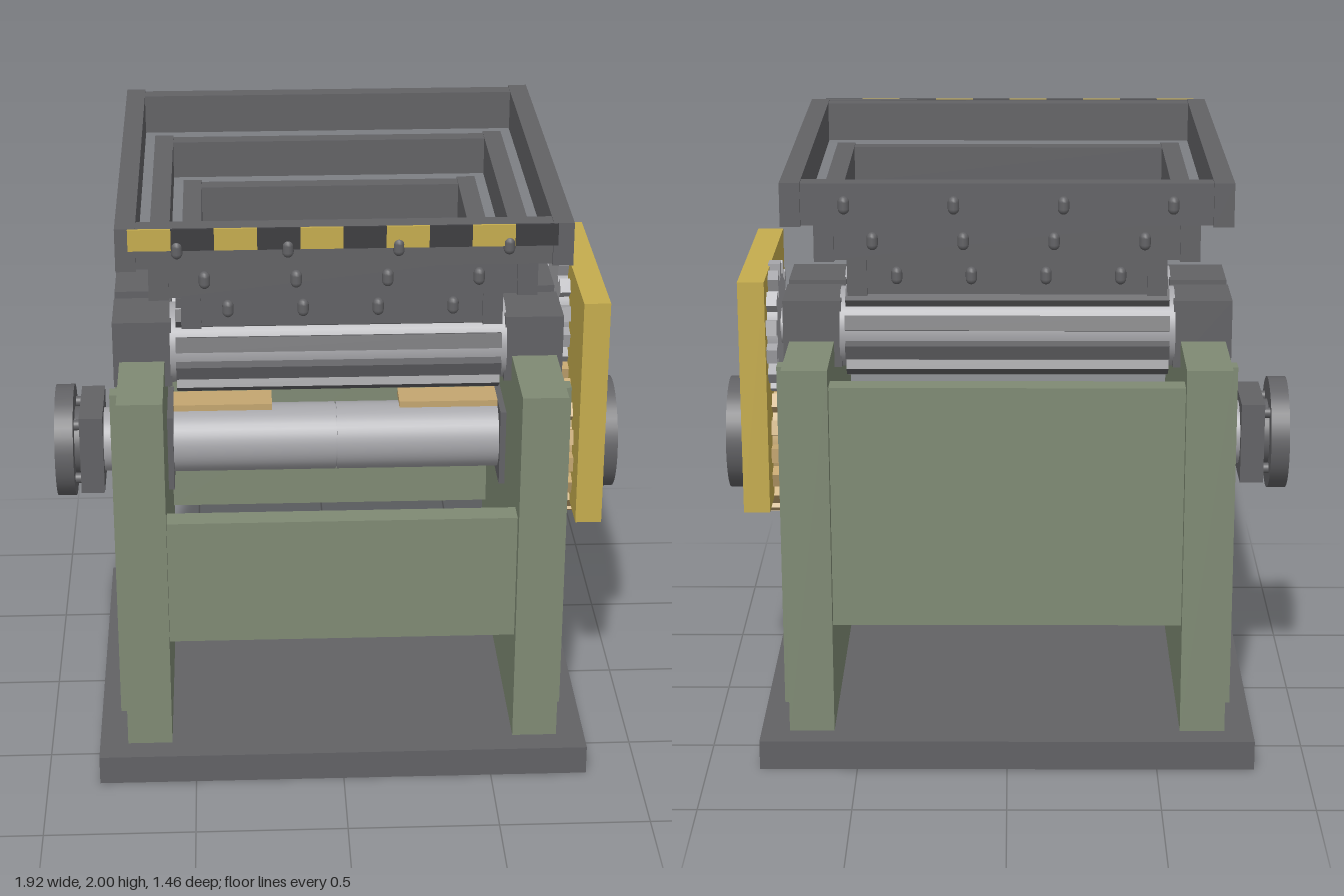
import * as THREE from 'three';

const mat = (name, color) => {
  const m = new THREE.MeshStandardMaterial({ color });
  m.name = name;
  return m;
};

export function createModel() {
  const model = new THREE.Group();
  model.name = 'rollerCrusher';
  const dark = mat('darkSteel', 0x626265);
  const green = mat('greenPaint', 0x7f8a74);
  const yellow = mat('safetyYellow', 0xc5ac4e);
  const black = mat('stripeBlack', 0x3d3d40);
  const silver = mat('brightSteel', 0xa6a6aa);
  const bronze = mat('bronze', 0xc4a670);

  const add = (name, geo, m, parent = model) => {
    const mesh = new THREE.Mesh(geo, m);
    mesh.name = name;
    parent.add(mesh);
    return mesh;
  };
  // Box given by its low and high limits on each axis
  const box = (name, m, x0, x1, y0, y1, z0, z1, parent) => {
    const mesh = add(name, new THREE.BoxGeometry(x1 - x0, y1 - y0, z1 - z0), m, parent);
    mesh.position.set((x0 + x1) / 2, (y0 + y1) / 2, (z0 + z1) / 2);
    return mesh;
  };
  // Cylinder lying along x
  const rod = (name, m, x0, x1, r, y, z, parent) => {
    const geo = new THREE.CylinderGeometry(r, r, x1 - x0, 40).rotateZ(Math.PI / 2);
    const mesh = add(name, geo, m, parent);
    mesh.position.set((x0 + x1) / 2, y, z);
    return mesh;
  };
  // Blocks spread evenly round an x axis: gear teeth and roller bars
  const ring = (name, m, count, length, height, width, radius, parent, phase = 0) => {
    for (let i = 0; i < count; i++) {
      const a = ((i + phase) / count) * Math.PI * 2;
      const b = add(name, new THREE.BoxGeometry(length, height, width), m, parent);
      b.position.set(0, Math.cos(a) * radius, Math.sin(a) * radius);
      b.rotation.x = a;
    }
  };

  // Base and cross panels
  box('base', dark, -0.825, 0.825, 0, 0.1, -0.69, 0.69);
  box('frontPanel', green, -0.58, 0.58, 0.47, 0.91, 0.48, 0.56);
  box('backPanel', green, -0.58, 0.58, 0.465, 1.29, -0.56, -0.48);

  // Side walls with ribs, bearing blocks and inner flanges
  for (const s of [-1, 1]) {
    const side = (name, m, a, b, ...rest) =>
      box(name, m, Math.min(s * a, s * b), Math.max(s * a, s * b), ...rest);
    side('sideWall', green, 0.58, 0.73, 0.1, 1.36, -0.6, 0.6);
    for (const z of [-0.425, 0, 0.425])
      side('wallRib', green, 0.725, 0.757, 0.14, 1.33, z - 0.028, z + 0.028);
    for (const z of [-0.14, 0.14])
      side('bearingBlock', dark, 0.555, 0.75, 1.27, 1.5, z - 0.11, z + 0.11);
    side('innerFlange', dark, 0.56, 0.585, 0.83, 1.1, -0.135, 0.135);
    side('scraper', bronze, 0.22, 0.56, 1.075, 1.1, -0.09, 0.03);
  }

  // Lower roller in two halves, with its shaft
  const axisY = 0.965;
  rod('lowerShaft', silver, -0.9, 0.9, 0.11, axisY, 0);
  rod('lowerRollerRight', silver, -0.56, -0.002, 0.117, axisY, 0);
  rod('lowerRollerLeft', silver, 0.002, 0.56, 0.117, axisY, 0);

  // Hub and end wheels
  box('hubPlate', dark, -0.88, -0.8, axisY - 0.14, axisY + 0.14, -0.14, 0.14);
  rod('hub', dark, -0.905, -0.87, 0.115, axisY, 0);
  for (const y of [-0.1, 0.1])
    for (const z of [-0.1, 0.1]) rod('hubBolt', dark, -0.9, -0.87, 0.018, axisY + y, z);
  rod('rightWheel', dark, -0.963, -0.9, 0.193, axisY, 0);
  rod('leftWheel', dark, 0.88, 0.96, 0.193, axisY, 0);

  // Pair of barred upper rollers
  for (const z of [-0.14, 0.14]) {
    const roller = new THREE.Group();
    roller.name = 'upperRoller';
    roller.position.set(0, 1.385, z);
    model.add(roller);
    rod('rollerCore', silver, -0.56, 0.56, 0.135, 0, 0, roller);
    ring('rollerBar', dark, 10, 1.08, 0.05, 0.05, 0.14, roller);
  }

  // Meshing gears behind the guard
  const gear = (name, m, x, width, r, teeth, y, z, phase) => {
    const g = new THREE.Group();
    g.name = name;
    g.position.set(x, y, z);
    model.add(g);
    rod(name + 'Disc', m, -width / 2, width / 2, r, 0, 0, g);
    ring(name + 'Tooth', m, teeth, width, 0.055, 0.05, r + 0.018, g, phase);
  };
  gear('driveGear', bronze, 0.793, 0.066, 0.23, 18, axisY, 0, 0.5);
  gear('rollerGear', silver, 0.782, 0.04, 0.175, 14, 1.385, -0.14, 0);
  rod('gearShaft', silver, 0.56, 0.8, 0.06, 1.385, -0.14);
  box('gearGuard', yellow, 0.797, 0.885, 0.8, 1.597, -0.383, 0.383);

  // Stepped hopper frames, bolted on front and back
  const frames = [
    [0.515, 1.588, 1.725, 0.52, 0.24],
    [0.613, 1.725, 1.86, 0.615, 0.288],
    [0.71, 1.86, 2.0, 0.71, 0.343],
  ];
  for (const [x, y0, y1, z, pitch] of frames) {
    const frame = new THREE.Group();
    frame.name = 'hopperFrame';
    model.add(frame);
    for (const s of [-1, 1]) {
      const cx = s * (x - 0.032), cz = s * (z - 0.042);
      box('sideBar', dark, cx - 0.032, cx + 0.032, y0, y1, -z, z, frame);
      box('endBar', dark, -x + 0.05, x - 0.05, y0 + 0.003, y1 - 0.003, cz - 0.03, cz + 0.03, frame);
      for (let i = 0; i < 4; i++) {
        const bolt = add('frameBolt', new THREE.CapsuleGeometry(0.018, 0.022, 4, 12), dark, frame);
        bolt.position.set((i - 1.5) * pitch - 0.005, (y0 + y1) / 2, s * z);
      }
    }
  }

  // Hazard stripes along the top front edge
  for (let i = 0; i < 10; i++) {
    const x = -0.67 + i * 0.133;
    box('hazardStripe', i % 2 ? black : yellow, x, x + 0.133, 1.93, 2.0, 0.709, 0.718);
  }
  // Backing strip that carries the stripes
  box('stripeBacking', dark, -0.67, 0.66, 1.93, 1.999, 0.69, 0.709);

  return model;
}
